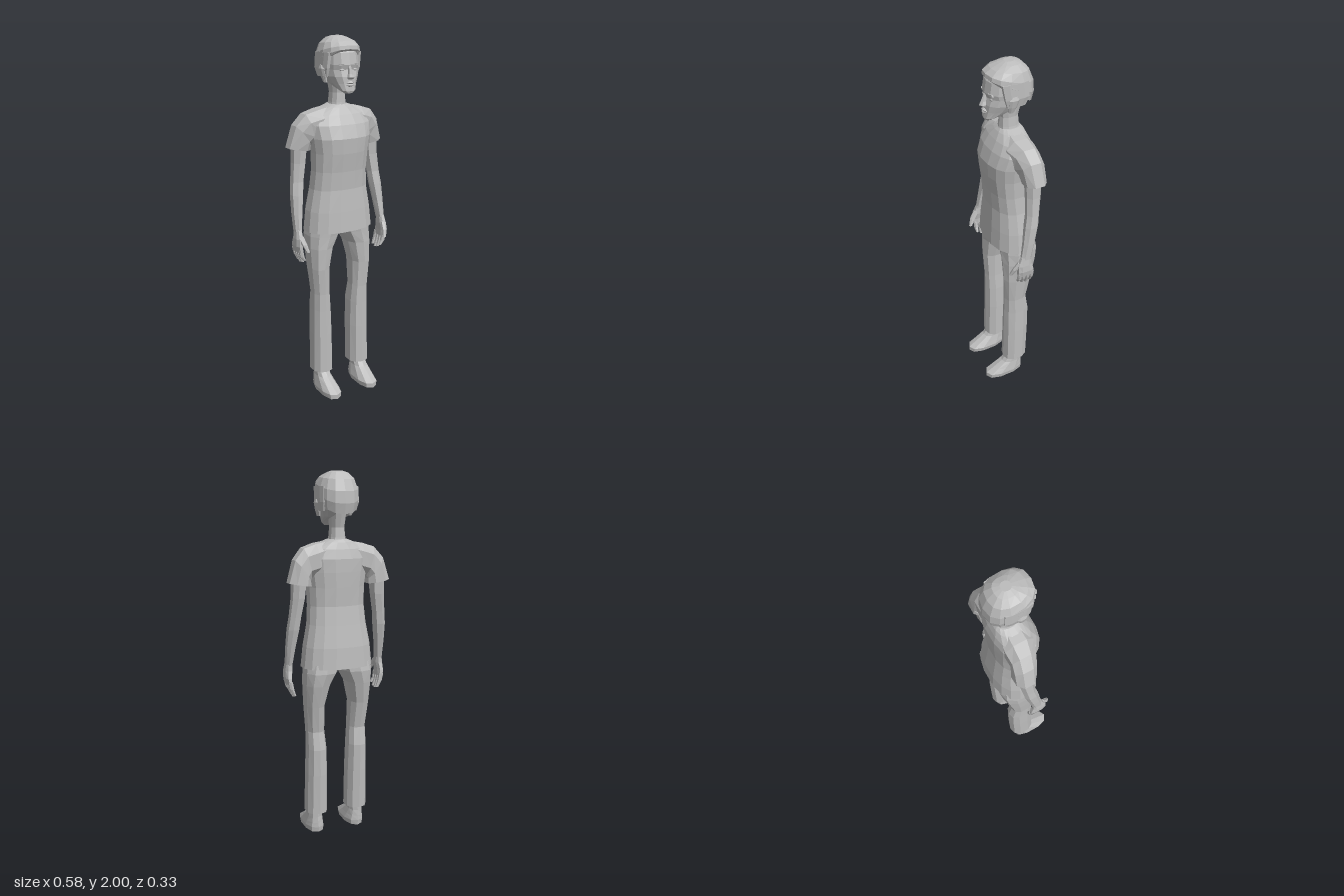
import * as THREE from 'three';

const grey = new THREE.MeshStandardMaterial({ color: 0xbcbcbc, flatShading: true });
grey.name = 'plain grey';

// Closed loft. Ring: [x0, y0, x1, y1, z0, z1, tilt] = inner point, outer point,
// depth range, and how far the front edge is raised (the back is lowered).
function loft(name, rings, sides, power = 0.85) {
  const pos = [], index = [];
  const bend = v => Math.sign(v) * Math.pow(Math.abs(v), power);
  for (const [x0, y0, x1, y1, z0, z1, tilt = 0] of rings) {
    for (let i = 0; i < sides; i++) {
      const t = ((i + 0.5) / sides) * Math.PI * 2;
      const k = 1 / Math.cos(Math.PI / sides / 2);
      const c = Math.max(-1, Math.min(1, bend(Math.cos(t)) * k));
      const s = Math.max(-1, Math.min(1, bend(Math.sin(t)) * k));
      pos.push((x0 + x1) / 2 + c * (x1 - x0) / 2,
        (y0 + y1) / 2 + c * (y1 - y0) / 2 + s * tilt,
        (z0 + z1) / 2 + s * (z1 - z0) / 2);
    }
  }
  const last = (rings.length - 1) * sides;
  for (let r = 0; r < last; r += sides) {
    for (let i = 0; i < sides; i++) {
      const j = (i + 1) % sides;
      index.push(r + i, r + sides + i, r + j, r + j, r + sides + i, r + sides + j);
    }
  }
  for (let i = 1; i < sides - 1; i++) {
    index.push(0, i, i + 1, last, last + i + 1, last + i);
  }
  // Turn the faces outward whichever way the rings run
  const a = new THREE.Vector3(), b = new THREE.Vector3(), c = new THREE.Vector3();
  let volume = 0;
  for (let f = 0; f < index.length; f += 3) {
    a.fromArray(pos, index[f] * 3);
    b.fromArray(pos, index[f + 1] * 3);
    c.fromArray(pos, index[f + 2] * 3);
    volume += a.dot(b.cross(c));
  }
  if (volume < 0) index.reverse();
  const geo = new THREE.BufferGeometry();
  geo.setAttribute('position', new THREE.Float32BufferAttribute(pos, 3));
  geo.setIndex(index);
  const flat = geo.toNonIndexed();
  flat.computeVertexNormals();
  const mesh = new THREE.Mesh(flat, grey);
  mesh.name = name;
  return mesh;
}

// Ring centred on x = 0, and level ring between two x values
const mid = (y, w, z0, z1, tilt) => [-w, y, w, y, z0, z1, tilt];
const flatRing = (y, x0, x1, z0, z1, tilt) => [x0, y, x1, y, z0, z1, tilt];

function buildTorso(g) {
  g.add(loft('shirt', [
    mid(0.965, 0.2, -0.165, 0.092), mid(1.08, 0.188, -0.158, 0.085),
    mid(1.2, 0.165, -0.142, 0.076), mid(1.3, 0.157, -0.13, 0.083),
    mid(1.4, 0.16, -0.135, 0.097), mid(1.48, 0.172, -0.138, 0.102),
    mid(1.55, 0.18, -0.137, 0.078), mid(1.6, 0.155, -0.125, 0.05),
    mid(1.635, 0.09, -0.112, 0.026), mid(1.65, 0.05, -0.1, 0.012),
  ], 16));
  g.add(loft('neck', [
    mid(1.6, 0.055, -0.105, 0.02), mid(1.66, 0.042, -0.095, 0.012),
    mid(1.71, 0.037, -0.09, 0.008), mid(1.79, 0.045, -0.11, 0.02),
  ], 10));
}

function buildHead(g) {
  g.add(loft('face', [
    mid(1.716, 0.022, 0.055, 0.093), mid(1.735, 0.046, 0, 0.098, -0.008),
    mid(1.765, 0.066, -0.085, 0.095), mid(1.8, 0.084, -0.125, 0.093),
    mid(1.835, 0.09, -0.14, 0.084), mid(1.86, 0.092, -0.145, 0.092),
    mid(1.92, 0.088, -0.14, 0.082), mid(1.97, 0.06, -0.1, 0.04),
  ], 14));
  g.add(loft('hair', [
    mid(1.855, 0.1, -0.15, 0.08, 0.075), mid(1.885, 0.108, -0.162, 0.088, 0.052),
    mid(1.925, 0.105, -0.158, 0.085, 0.03), mid(1.965, 0.088, -0.135, 0.055, 0.01),
    mid(1.99, 0.055, -0.1, 0.015, 0), mid(2, 0.025, -0.065, -0.015),
  ], 14));
  g.add(loft('nose', [
    mid(1.788, 0.014, 0.08, 0.106), mid(1.798, 0.018, 0.075, 0.12),
    mid(1.815, 0.011, 0.075, 0.112), mid(1.855, 0.006, 0.075, 0.094),
  ], 6));
  g.add(loft('lowerLip', [
    mid(1.75, 0.012, 0.08, 0.097), mid(1.757, 0.02, 0.075, 0.104),
    mid(1.764, 0.026, 0.075, 0.098),
  ], 8));
  g.add(loft('upperLip', [
    mid(1.764, 0.026, 0.075, 0.099), mid(1.77, 0.02, 0.075, 0.106),
    mid(1.778, 0.008, 0.075, 0.098),
  ], 8));
}

// Everything that occurs on both sides, built for the left
function buildSide() {
  const g = new THREE.Group();
  g.add(loft('sideHair', [
    flatRing(1.795, 0.08, 0.098, -0.085, 0.015), flatRing(1.84, 0.075, 0.108, -0.105, 0.03),
    flatRing(1.92, 0.07, 0.106, -0.1, 0.045),
  ], 8, 0.7));
  g.add(loft('ear', [
    flatRing(1.768, 0.08, 0.098, -0.02, 0.005), flatRing(1.8, 0.085, 0.108, -0.035, 0.01),
    flatRing(1.838, 0.088, 0.116, -0.046, 0.01), flatRing(1.856, 0.09, 0.11, -0.035, -0.005),
  ], 7));
  const eye = new THREE.Mesh(new THREE.SphereGeometry(0.015, 8, 6), grey);
  eye.name = 'eye';
  eye.scale.set(1, 0.55, 0.6);
  eye.position.set(0.037, 1.835, 0.073);
  g.add(eye);
  g.add(loft('brow', [
    flatRing(1.855, 0.018, 0.06, 0.05, 0.086), flatRing(1.866, 0.02, 0.056, 0.05, 0.089),
  ], 6));

  // Sleeve runs from the shoulder, turning down over the upper arm
  g.add(loft('sleeve', [
    [0.05, 1.5, 0.05, 1.645, -0.115, 0.03], [0.12, 1.46, 0.13, 1.632, -0.122, 0.04],
    [0.155, 1.45, 0.2, 1.61, -0.118, 0.018], [0.163, 1.435, 0.252, 1.55, -0.125, 0.002],
    [0.16, 1.41, 0.288, 1.43, -0.128, -0.012],
  ], 8));
  g.add(loft('arm', [
    [0.18, 1.44, 0.262, 1.45, -0.108, -0.018], flatRing(1.35, 0.19, 0.265, -0.102, -0.022),
    flatRing(1.25, 0.208, 0.275, -0.088, -0.018), flatRing(1.18, 0.217, 0.284, -0.08, -0.005),
    flatRing(1.08, 0.234, 0.287, -0.058, 0.008), flatRing(0.98, 0.248, 0.286, -0.036, 0.024),
  ], 7));
  g.add(loft('palm', [
    flatRing(1.0, 0.25, 0.284, -0.034, 0.02), flatRing(0.95, 0.248, 0.29, -0.038, 0.042),
    flatRing(0.91, 0.255, 0.291, -0.05, 0.044), flatRing(0.875, 0.255, 0.283, -0.055, 0.042),
  ], 8, 0.75));
  const tips = [0.812, 0.805, 0.81, 0.825];
  tips.forEach((tip, i) => {
    const z = -0.056 + i * 0.024;
    g.add(loft('finger', [
      flatRing(0.89, 0.257, 0.283, z, z + 0.025), flatRing(0.85, 0.25, 0.274, z, z + 0.024),
      flatRing(tip, 0.238, 0.254, z + 0.005, z + 0.02),
    ], 6));
  });
  g.add(loft('thumb', [
    flatRing(0.965, 0.252, 0.28, 0.005, 0.04), flatRing(0.925, 0.245, 0.272, 0.035, 0.067),
    flatRing(0.885, 0.238, 0.255, 0.062, 0.08),
  ], 6));

  g.add(loft('trouserLeg', [
    flatRing(0.99, -0.01, 0.185, -0.145, 0.06), flatRing(0.94, 0.01, 0.192, -0.15, 0.056),
    flatRing(0.87, 0.05, 0.192, -0.138, 0.053), flatRing(0.75, 0.078, 0.185, -0.112, 0.05),
    flatRing(0.6, 0.075, 0.173, -0.086, 0.042), flatRing(0.5, 0.067, 0.174, -0.104, 0.043),
    flatRing(0.35, 0.062, 0.178, -0.102, 0.046), flatRing(0.12, 0.06, 0.181, -0.094, 0.05),
  ], 10));
  g.add(loft('foot', [
    flatRing(0, 0.072, 0.172, -0.07, 0.165), flatRing(0.028, 0.066, 0.177, -0.073, 0.165),
    flatRing(0.055, 0.074, 0.172, -0.07, 0.118), flatRing(0.09, 0.083, 0.166, -0.066, 0.06),
    flatRing(0.15, 0.085, 0.164, -0.066, 0.015),
  ], 10));
  return g;
}

export function createModel() {
  const model = new THREE.Group();
  model.name = 'standingFigure';
  buildTorso(model);
  buildHead(model);
  for (const side of [1, -1]) {
    const half = buildSide();
    half.name = side > 0 ? 'leftSide' : 'rightSide';
    half.scale.x = side;
    model.add(half);
  }
  return model;
}
